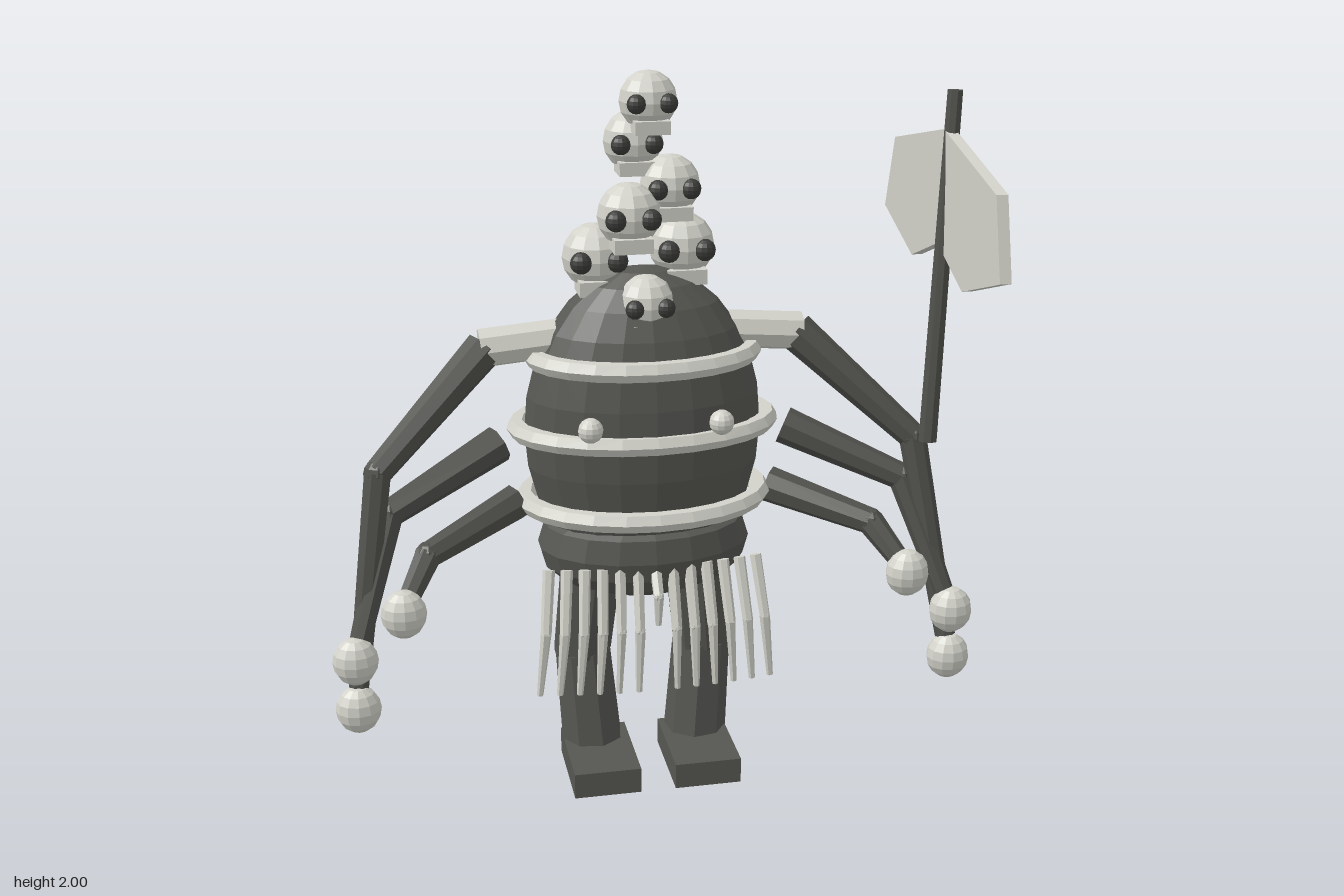
import * as THREE from 'three';

const mat = (name, color) => {
  const m = new THREE.MeshStandardMaterial({ color, flatShading: true });
  m.name = name;
  return m;
};

export function createModel() {
  const hide = mat('dark hide', 0x565752);
  const limbMat = mat('dark limb', 0x50514c);
  const bone = mat('pale bone', 0xd2d2ca);
  const socket = mat('eye socket', 0x3c3d3a);
  const root = new THREE.Group();
  const V = (p) => new THREE.Vector3(...p);

  const add = (name, geo, material, pos = [0, 0, 0], parent = root) => {
    const mesh = new THREE.Mesh(geo, material);
    mesh.name = name;
    mesh.position.set(...pos);
    parent.add(mesh);
    return mesh;
  };

  const ball = (name, r, material, pos, parent) =>
    add(name, new THREE.SphereGeometry(r, 12, 8), material, pos, parent);

  // Tapered rod between two points
  const rod = (name, a, b, ra, rb, sides, material, parent) => {
    const p = V(a), q = V(b), dir = q.clone().sub(p);
    const mesh = add(name, new THREE.CylinderGeometry(rb, ra, dir.length(), sides), material,
      p.clone().add(q).multiplyScalar(0.5).toArray(), parent);
    mesh.quaternion.setFromUnitVectors(new THREE.Vector3(0, 1, 0), dir.normalize());
    return mesh;
  };

  // Jointed limb: rods through a list of points, rounded at the bends
  const limb = (name, pts, radii, sides, material) => {
    const g = new THREE.Group();
    g.name = name;
    root.add(g);
    for (let i = 0; i + 1 < pts.length; i++) {
      rod(name + 'Segment', pts[i], pts[i + 1], radii[i], radii[i + 1], sides, material, g);
      if (i > 0) add(name + 'Joint', new THREE.SphereGeometry(radii[i], sides, 6), material, pts[i], g);
    }
  };

  // Egg-shaped body and rounded hips
  const bodyZ = -0.19;
  add('body', new THREE.SphereGeometry(1, 20, 14), hide, [0, 1.03, bodyZ]).scale.set(0.33, 0.45, 0.21);
  const hipProfile = [[0, 0.545], [0.15, 0.555], [0.235, 0.59], [0.285, 0.635], [0.3, 0.69], [0.28, 0.755], [0.2, 0.79]]
    .map(([x, y]) => new THREE.Vector2(x, y));
  add('hips', new THREE.LatheGeometry(hipProfile, 18), hide, [0, 0, bodyZ]).scale.z = 0.67;

  // Hoops around the body: height, half width, half depth
  for (const [y, rx, rz] of [[0.83, 0.33, 0.23], [1.04, 0.35, 0.205], [1.24, 0.3, 0.19]]) {
    const geo = new THREE.TorusGeometry(1, 0.028, 6, 24);
    geo.rotateX(Math.PI / 2);
    const p = geo.attributes.position;
    for (let i = 0; i < p.count; i++) {
      // Keep the band round while stretching the hoop to an ellipse
      const x = p.getX(i), z = p.getZ(i), r = Math.hypot(x, z), off = r - 1;
      p.setXYZ(i, (x / r) * (rx + off), p.getY(i), (z / r) * (rz + off));
    }
    geo.computeVertexNormals();
    add('hoop', geo, bone, [0, y, bodyZ]);
  }

  // Stack of skulls: x, y, z, radius
  const skulls = [
    [0.01, 1.922, -0.165, 0.077], [-0.02, 1.81, -0.22, 0.08], [0.068, 1.7, -0.165, 0.081],
    [-0.052, 1.638, -0.105, 0.085], [0.115, 1.52, -0.235, 0.09], [-0.122, 1.5, -0.235, 0.09],
    [-0.004, 1.395, -0.12, 0.077],
  ];
  for (const [x, y, z, r] of skulls) {
    const g = new THREE.Group();
    g.name = 'skull';
    g.position.set(x, y, z);
    root.add(g);
    ball('cranium', r, bone, [0, 0, 0], g);
    add('jaw', new THREE.BoxGeometry(r * 1.2, r * 0.45, r * 1.1), bone, [0, -r * 0.8, r * 0.38], g);
    for (const s of [-1, 1]) ball('eyeSocket', r * 0.33, socket, [s * r * 0.54, 0, r * 0.82], g);
  }

  // Fringe of hanging strands
  const n = 13;
  for (let i = 0; i < n; i++) {
    const t = (i / (n - 1)) * 2 - 1;
    const tip = i === (n - 1) / 2 ? 0.52 : 0.32;
    const z = -0.045 + 0.03 * (1 - t * t);
    limb('fringeStrand', [[t * 0.29, 0.675, z], [t * 0.308, (0.675 + tip) / 2 + 0.01, z + 0.05], [t * 0.328, tip, z + 0.045]],
      [0.017, 0.015, 0.009], 6, bone);
  }

  for (const s of [-1, 1]) {
    // Chest studs
    ball('chestStud', 0.034, bone, [s * 0.177, 1.09, 0.005]);

    // Shoulder sleeve and the three arms
    rod('shoulder', [s * 0.2, 1.29, -0.2], [s * 0.442, 1.27, -0.2], 0.054, 0.054, 8, bone);
    limb('upperArm', [[s * 0.43, 1.27, -0.2], [s * 0.735, 0.99, -0.055], [s * 0.825, 0.4, 0.07]],
      [0.054, 0.038, 0.028], 8, limbMat);
    limb('middleArm', [[s * 0.4, 1.0, -0.19], [s * 0.71, 0.87, -0.06], [s * 0.82, 0.53, 0.07]],
      [0.052, 0.038, 0.028], 8, limbMat);
    limb('lowerArm', [[s * 0.36, 0.825, -0.19], [s * 0.615, 0.755, -0.03], [s * 0.69, 0.65, 0.07]],
      [0.052, 0.038, 0.028], 8, limbMat);
    for (const [x, y] of [[0.825, 0.373], [0.825, 0.515], [0.692, 0.64]])
      add('hand', new THREE.SphereGeometry(1, 12, 8), bone, [s * x, y, 0.08]).scale.set(0.061, 0.067, 0.052);

    // Leg and block foot
    limb('leg', [[s * 0.15, 0.62, -0.19], [s * 0.175, 0.35, -0.215], [s * 0.15, 0.01, -0.195]],
      [0.088, 0.083, 0.092], 8, hide);
    add('foot', new THREE.BoxGeometry(0.19, 0.075, 0.275), hide, [s * 0.145, 0.0375, -0.1025]);
  }

  // Staff with a broad winged blade
  rod('staff', [0.735, 1.02, 0.065], [0.78, 1.95, 0], 0.026, 0.021, 8, limbMat);
  const outline = [[0, 1.85], [0.385, 1.76], [0.445, 1.555], [0.197, 1.47], [0, 1.55],
    [-0.197, 1.47], [-0.445, 1.555], [-0.385, 1.76]].map(([x, y]) => new THREE.Vector2(x, y));
  const blade = new THREE.ExtrudeGeometry(new THREE.Shape(outline), { depth: 0.03, bevelEnabled: false });
  blade.translate(0, 0, -0.015);
  blade.rotateY(Math.PI / 2);
  add('blade', blade, bone, [0.77, 0, 0]);

  return root;
}
